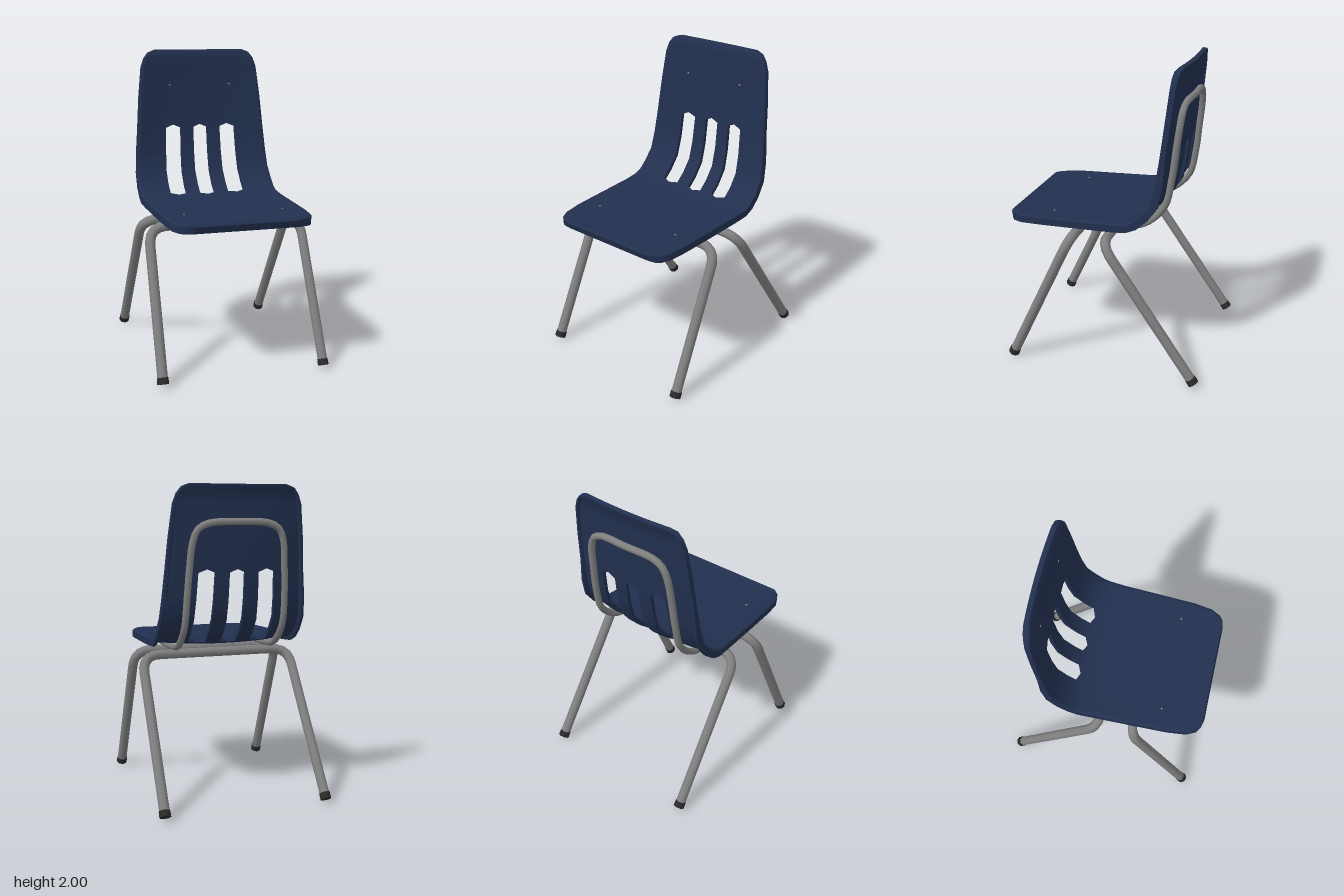
import * as THREE from 'three';
import { toCreasedNormals } from 'three/addons/utils/BufferGeometryUtils.js';

const mat = (name, color) => {
  const m = new THREE.MeshStandardMaterial({ color });
  m.name = name;
  return m;
};
const V = (x, y, z) => new THREE.Vector3(x, y, z);

// Shell sections from the seat front to the top of the back: z, y, half width, dish depth
const ROWS = [
  [0.66, 0.995, 0.33, 0], [0.645, 1.0, 0.385, 0], [0.62, 1.0, 0.415, 0.003],
  [0.56, 1.003, 0.445, 0.008], [0.44, 1.01, 0.46, 0.015], [0.2, 1.018, 0.468, 0.02],
  [-0.05, 1.027, 0.475, 0.025], [-0.15, 1.035, 0.48, 0.03], [-0.195, 1.055, 0.48, 0.04],
  [-0.25, 1.105, 0.48, 0.042], [-0.305, 1.18, 0.475, 0.045], [-0.33, 1.3, 0.465, 0.05],
  [-0.35, 1.465, 0.452, 0.05], [-0.372, 1.68, 0.435, 0.045], [-0.392, 1.88, 0.412, 0.035],
  [-0.397, 1.94, 0.39, 0.03], [-0.402, 1.98, 0.36, 0.03], [-0.405, 2.0, 0.31, 0.03],
];
const HALF = [0.11, 0.31, 0.43, 0.55, 0.78, 0.94, 0.965, 1];
const COLS = [...HALF.map(f => -f).reverse(), 0, ...HALF];
const SLOT_START = 8, SLOT_END = 12;      // rows spanned by the slots
const SLOT_COLS = [4, 5, 7, 8, 10, 11];   // column cells cut away
const SLOT_MIDS = [5, 8, 11];             // columns that round the slot ends

function shellGeometry() {
  const nr = ROWS.length, nc = COLS.length;

  // Point of the sheet; side 0 = sitting face, 1 = rear face with a deeper rim
  const raw = (r, c, side) => {
    const [z, y, hw, dish] = ROWS[r];
    const a = ROWS[Math.max(r - 1, 0)], b = ROWS[Math.min(r + 1, nr - 1)];
    const len = Math.hypot(b[0] - a[0], b[1] - a[1]);
    const nz = -(b[1] - a[1]) / len, ny = (b[0] - a[0]) / len;   // towards the rear face
    const x = COLS[c] * hw;
    const border = c === 0 || r === 0 || c === nc - 1 || r === nr - 1;
    const rim = c < 2 || r < 2 || c > nc - 3 || r > nr - 3;
    const d = dish * (1 - (x / 0.48) ** 2)
      + (side ? (rim ? (r < 12 ? 0.055 : 0.04) : 0.025) : (border ? 0.01 : 0));
    return V(x, y + ny * d, z + nz * d);
  };
  const point = (r, c, side) => {
    const p = raw(r, c, side);
    if (SLOT_MIDS.includes(c)) {
      if (r === SLOT_START) p.lerp(raw(r - 1, c, side), 0.35);
      if (r === SLOT_END) p.lerp(raw(r + 1, c, side), 0.1);
    }
    return p;
  };
  const solid = (r, c) => r >= 0 && c >= 0 && r < nr - 1 && c < nc - 1
    && !(r >= SLOT_START && r < SLOT_END && SLOT_COLS.includes(c));

  const pos = [];
  const quad = (a, b, c, d) => [a, b, c, a, c, d].forEach(p => pos.push(p.x, p.y, p.z));
  for (let r = 0; r < nr - 1; r++) {
    for (let c = 0; c < nc - 1; c++) {
      if (!solid(r, c)) continue;
      const ring = [[r, c], [r, c + 1], [r + 1, c + 1], [r + 1, c]];
      const f = ring.map(([i, j]) => point(i, j, 0));
      const b = ring.map(([i, j]) => point(i, j, 1));
      quad(...f);
      quad(b[3], b[2], b[1], b[0]);
      // Walls along the rim and inside the slots
      [[r - 1, c], [r, c + 1], [r + 1, c], [r, c - 1]].forEach(([i, j], k) => {
        const n = (k + 1) % 4;
        if (!solid(i, j)) quad(f[n], f[k], b[k], b[n]);
      });
    }
  }
  const g = new THREE.BufferGeometry();
  g.setAttribute('position', new THREE.Float32BufferAttribute(pos, 3));
  return toCreasedNormals(g, 0.7);
}

// Straight runs joined by rounded bends
function bentPath(points, bend) {
  const path = new THREE.CurvePath();
  let from = points[0];
  for (let i = 1; i < points.length - 1; i++) {
    const p = points[i];
    const a = p.clone().add(points[i - 1].clone().sub(p).setLength(bend));
    const b = p.clone().add(points[i + 1].clone().sub(p).setLength(bend));
    path.add(new THREE.LineCurve3(from, a));
    path.add(new THREE.QuadraticBezierCurve3(a, p, b));
    from = b;
  }
  path.add(new THREE.LineCurve3(from, points[points.length - 1]));
  return path;
}

export function createModel() {
  const group = new THREE.Group();
  const navy = mat('navy plastic', 0x22304f);
  const steel = mat('grey steel', 0x808080);
  const rubber = mat('dark rubber', 0x2a2a2a);
  const add = (name, geometry, material) => {
    const m = new THREE.Mesh(geometry, material);
    m.name = name;
    group.add(m);
    return m;
  };

  add('seatShell', shellGeometry(), navy);

  // Leg arches with a crossbar under the seat, and a rubber foot on each leg
  const legArch = (name, footY, footZ, topZ) => {
    const half = [V(0.527, footY, footZ), V(0.512, 0.902, topZ)];
    const pts = [...half, ...half.map(p => V(-p.x, p.y, p.z)).reverse()];
    add(name + 'Legs', new THREE.TubeGeometry(bentPath(pts, 0.12), 72, 0.033, 8), steel);
    for (const s of [1, -1]) {
      const dir = V(s * (half[1].x - half[0].x), half[1].y - footY, topZ - footZ).normalize();
      const foot = add(name + 'Foot', new THREE.CylinderGeometry(0.036, 0.037, 0.04, 8), rubber);
      foot.quaternion.setFromUnitVectors(V(0, 1, 0), dir);
      foot.position.set(s * 0.527, footY, footZ).addScaledVector(dir, 0.02);
    }
  };
  legArch('front', 0.016, 0.615, 0.2);
  legArch('rear', 0.021, -0.632, -0.015);

  // Support tube running under the seat and up around the back
  const side = [
    V(0.325, 0.957, 0.43), V(0.325, 0.96, 0.2), V(0.325, 0.963, -0.08), V(0.325, 0.99, -0.23),
    V(0.325, 1.12, -0.365), V(0.32, 1.3, -0.407), V(0.31, 1.48, -0.427),
    V(0.295, 1.64, -0.445), V(0.265, 1.72, -0.452), V(0.2, 1.757, -0.455),
  ];
  const loop = [...side, V(0, 1.768, -0.466), ...side.map(p => V(-p.x, p.y, p.z)).reverse()];
  add('backSupportTube',
    new THREE.TubeGeometry(new THREE.CatmullRomCurve3(loop, false, 'centripetal'), 90, 0.022, 8), steel);

  // Rivets through the seat and the back
  for (const s of [1, -1]) {
    const pin = () => new THREE.CylinderGeometry(0.007, 0.007, 0.02, 8);
    add('seatRivet', pin(), steel).position.set(s * 0.325, 0.998, 0.37);
    const r = add('backRivet', pin(), steel);
    r.rotation.x = Math.PI / 2;
    r.position.set(s * 0.215, 1.755, -0.418);
  }
  return group;
}
